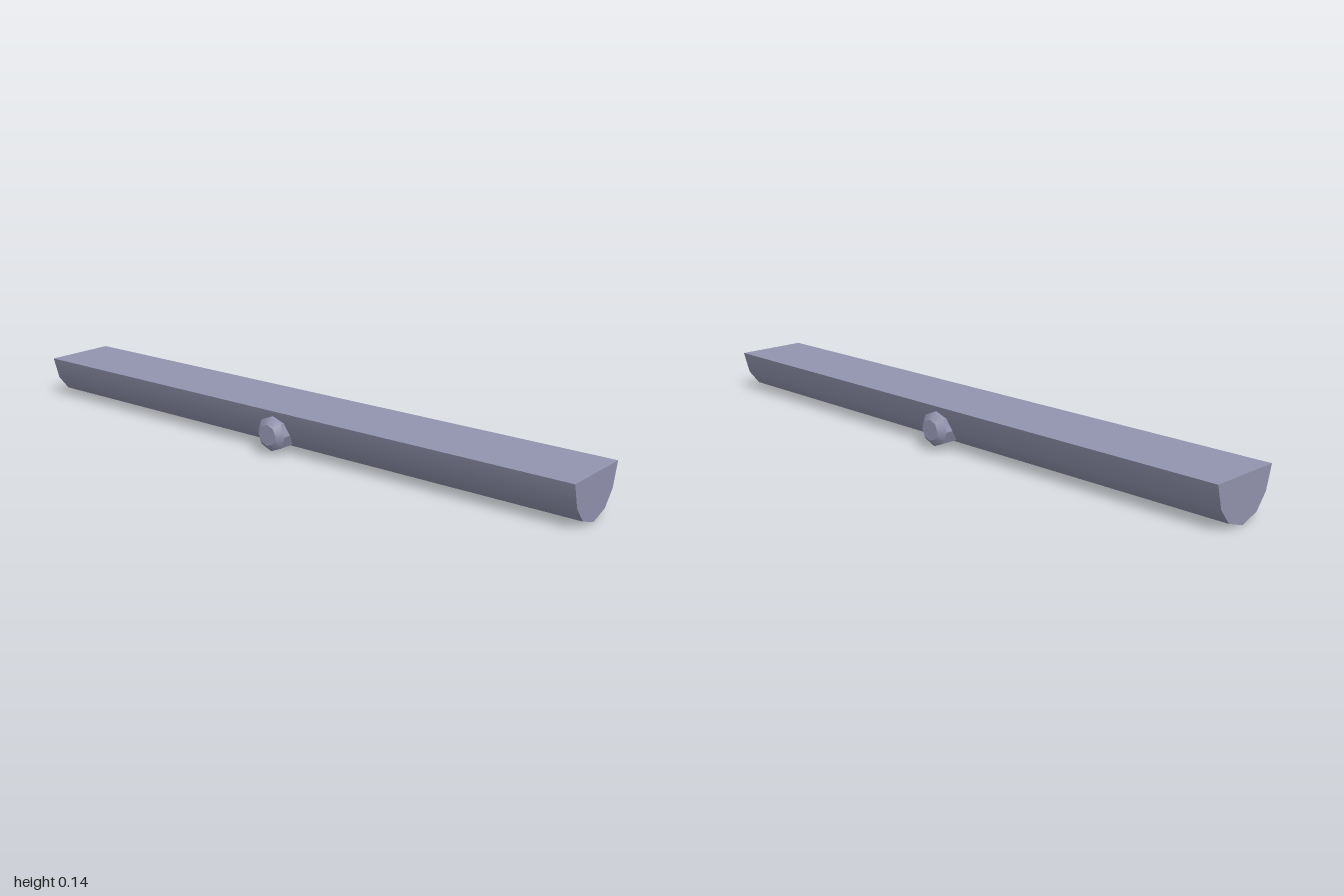
import * as THREE from 'three';
import { toCreasedNormals } from 'three/addons/utils/BufferGeometryUtils.js';

export function createModel() {
  const model = new THREE.Group();
  const metal = new THREE.MeshStandardMaterial({ color: 0x9293ae });
  const add = (name, geometry, parent = model) => {
    const mesh = new THREE.Mesh(geometry, metal);
    mesh.name = name;
    parent.add(mesh);
    return mesh;
  };

  // Long beam: flat top, rounded keel-shaped underside
  const profile = [
    [-0.12, 0.137], [-0.1, 0.066], [-0.062, 0.02], [0, 0],
    [0.062, 0.02], [0.1, 0.066], [0.12, 0.137],
  ].map(([z, y]) => new THREE.Vector2(z, y));
  const beam = new THREE.ExtrudeGeometry(new THREE.Shape(profile), { depth: 2, bevelEnabled: false });
  beam.translate(0, 0, -1).rotateY(Math.PI / 2);
  add('beam', toCreasedNormals(beam, 0.7));

  // Octagonal cross pin with chamfered ends
  const pin = new THREE.Group();
  pin.name = 'pivotPin';
  pin.position.set(0.005, 0.066, 0);
  model.add(pin);

  const shaft = new THREE.CylinderGeometry(0.054, 0.054, 0.248, 8, 1, true).rotateX(Math.PI / 2);
  add('pinShaft', toCreasedNormals(shaft, 0.3), pin);

  for (const side of [1, -1]) {
    const end = new THREE.CylinderGeometry(0.033, 0.054, 0.018, 8);
    end.translate(0, 0.133, 0).rotateX(side * Math.PI / 2);
    add(side > 0 ? 'frontPinEnd' : 'backPinEnd', end, pin);
  }
  return model;
}
